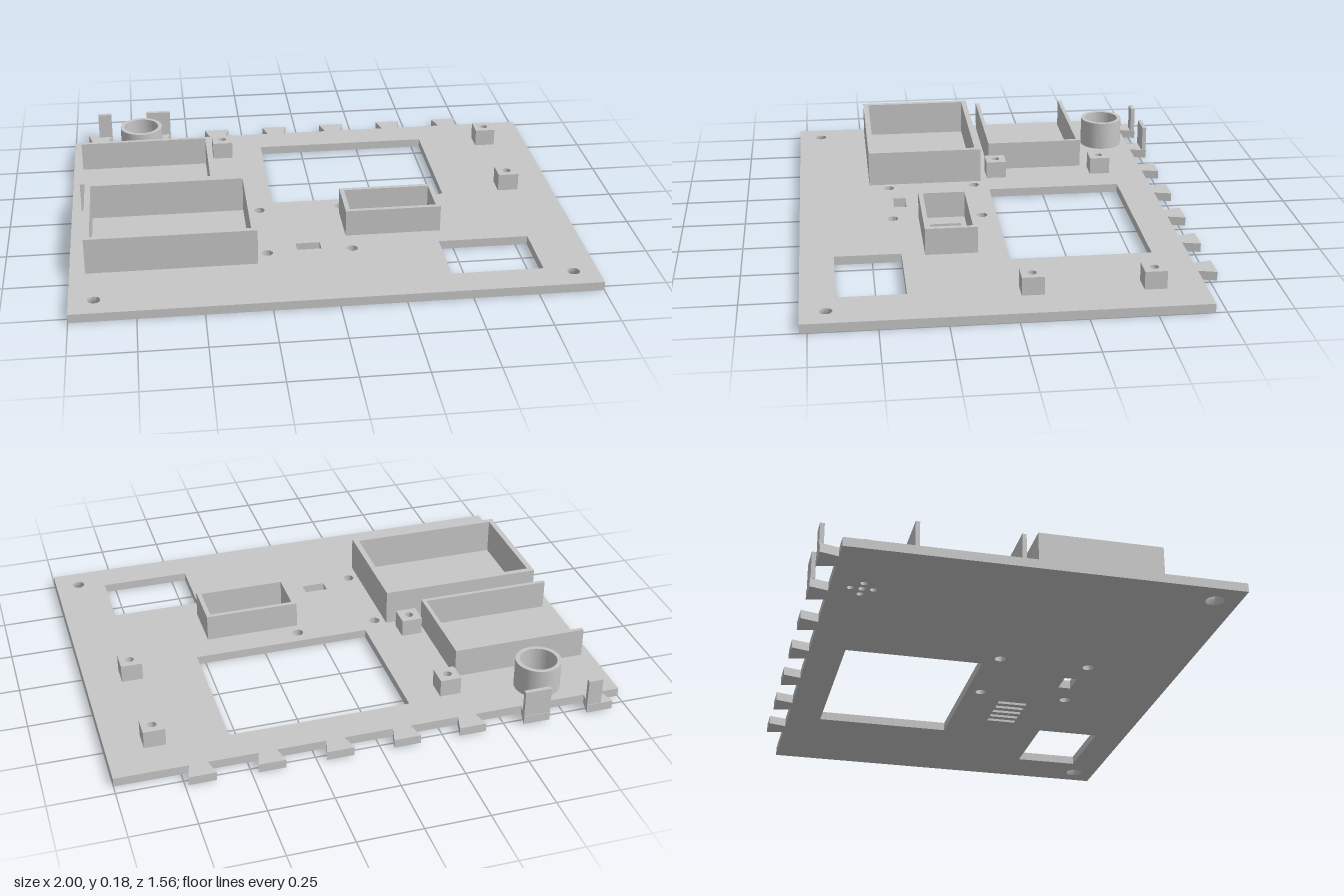
import * as THREE from 'three';
import { toCreasedNormals } from 'three/addons/utils/BufferGeometryUtils.js';

const TOP = 0.035; // plate thickness

// Plan-view outlines are drawn as (x, z); the shape's y is -z.
const outline = (pts, Type = THREE.Path) =>
  new Type(pts.map(([x, z]) => new THREE.Vector2(x, -z)));
const rect = (x0, x1, z0, z1, Type) =>
  outline([[x0, z1], [x1, z1], [x1, z0], [x0, z0]], Type);
const circle = (x, z, r, Type = THREE.Path) => {
  const c = new Type();
  c.absarc(x, -z, r, 0, Math.PI * 2, false);
  return c;
};

export function createModel() {
  const model = new THREE.Group();
  const grey = new THREE.MeshStandardMaterial({ color: 0xc7c7c7 });
  grey.name = 'light grey plastic';

  const add = (name, geometry) => {
    const mesh = new THREE.Mesh(toCreasedNormals(geometry, 0.6), grey);
    mesh.name = name;
    model.add(mesh);
    return mesh;
  };

  // Raise a plan outline with holes from height y0 to y1
  const raise = (name, shape, holes, y0, y1) => {
    shape.holes.push(...holes);
    const solid = new THREE.ExtrudeGeometry(shape, { depth: y1 - y0, bevelEnabled: false, curveSegments: 40 });
    add(name, solid.rotateX(-Math.PI / 2).translate(0, y0, 0));
  };

  // Plate outline with seven dovetail tabs along the back edge
  const edge = [[-1, 0.778], [1, 0.778], [1, -0.708]];
  for (let i = 6; i >= 0; i--) {
    const x = -0.888 + i * 0.262;
    edge.push([x + 0.035, -0.708], [x + 0.053, -0.778], [x - 0.053, -0.778], [x - 0.035, -0.708]);
  }
  edge.push([-1, -0.708]);

  // Windows, screw holes, vent slots and sound holes
  const cuts = [
    rect(-0.18, 0.535, -0.57, -0.021),
    rect(0.441, 0.797, 0.388, 0.647),
    rect(-0.121, -0.026, 0.34, 0.391),
  ];
  for (const x of [-0.239, 0.094]) for (const z of [0.04, 0.403]) cuts.push(circle(x, z, 0.022));
  for (const x of [-0.905, 0.905]) cuts.push(circle(x, 0.683, 0.035));
  for (let i = 0; i < 5; i++) {
    const x = 0.275 + (i - 2) * 0.0475;
    cuts.push(rect(x - 0.011, x + 0.011, 0.136, 0.258));
  }
  const [rx, rz] = [-0.703, -0.591];
  for (const [dx, dz] of [[0, 0], [1, 0], [-1, 0], [0, 1], [0, -1]]) {
    cuts.push(circle(rx + dx * 0.042, rz + dz * 0.042, 0.013));
  }
  raise('basePlate', outline(edge, THREE.Shape), cuts, 0, TOP);

  // Countersunk collars in the two front corner holes
  const profile = [[0.035, TOP], [0.024, TOP], [0.024, 0.02], [0.035, 0]].map(p => new THREE.Vector2(...p));
  for (const x of [-0.905, 0.905]) {
    add('countersunkCollar', new THREE.LatheGeometry(profile, 40)).position.set(x, 0, 0.683);
  }

  // Rectangular walled compartments
  const tray = (name, x0, x1, z0, z1, t, h) =>
    raise(name, rect(x0, x1, z0, z1, THREE.Shape), [rect(x0 + t, x1 - t, z0 + t, z1 - t)], TOP, h);
  tray('largeCompartment', -0.939, -0.281, 0.007, 0.483, 0.023, 0.18);
  tray('ventCompartment', 0.083, 0.463, 0.094, 0.298, 0.018, 0.143);

  // Three-sided wall, open toward the side edge
  const [a, b, c, d, t] = [-0.961, -0.415, -0.447, -0.043, 0.016];
  raise('openCompartment', outline([
    [a, d], [b, d], [b, c], [a, c], [a, c + t], [b - t, c + t], [b - t, d - t], [a, d - t],
  ], THREE.Shape), [], TOP, 0.155);

  // Round speaker holder
  raise('roundHolder', circle(rx, rz, 0.09, THREE.Shape), [circle(rx, rz, 0.073)], TOP, 0.155);

  // Square standoffs with blind holes
  for (const x of [-0.354, 0.815]) for (const z of [-0.518, -0.066]) {
    raise('standoff', rect(x - 0.042, x + 0.042, z - 0.042, z + 0.042, THREE.Shape),
      [circle(x, z, 0.017)], TOP, 0.106);
  }

  // Upright clips on the first two tabs
  raise('narrowClip', rect(-0.893, -0.835, -0.776, -0.759, THREE.Shape), [], TOP, 0.143);
  raise('wideClip', rect(-0.679, -0.573, -0.776, -0.759, THREE.Shape), [], TOP, 0.143);

  return model;
}
